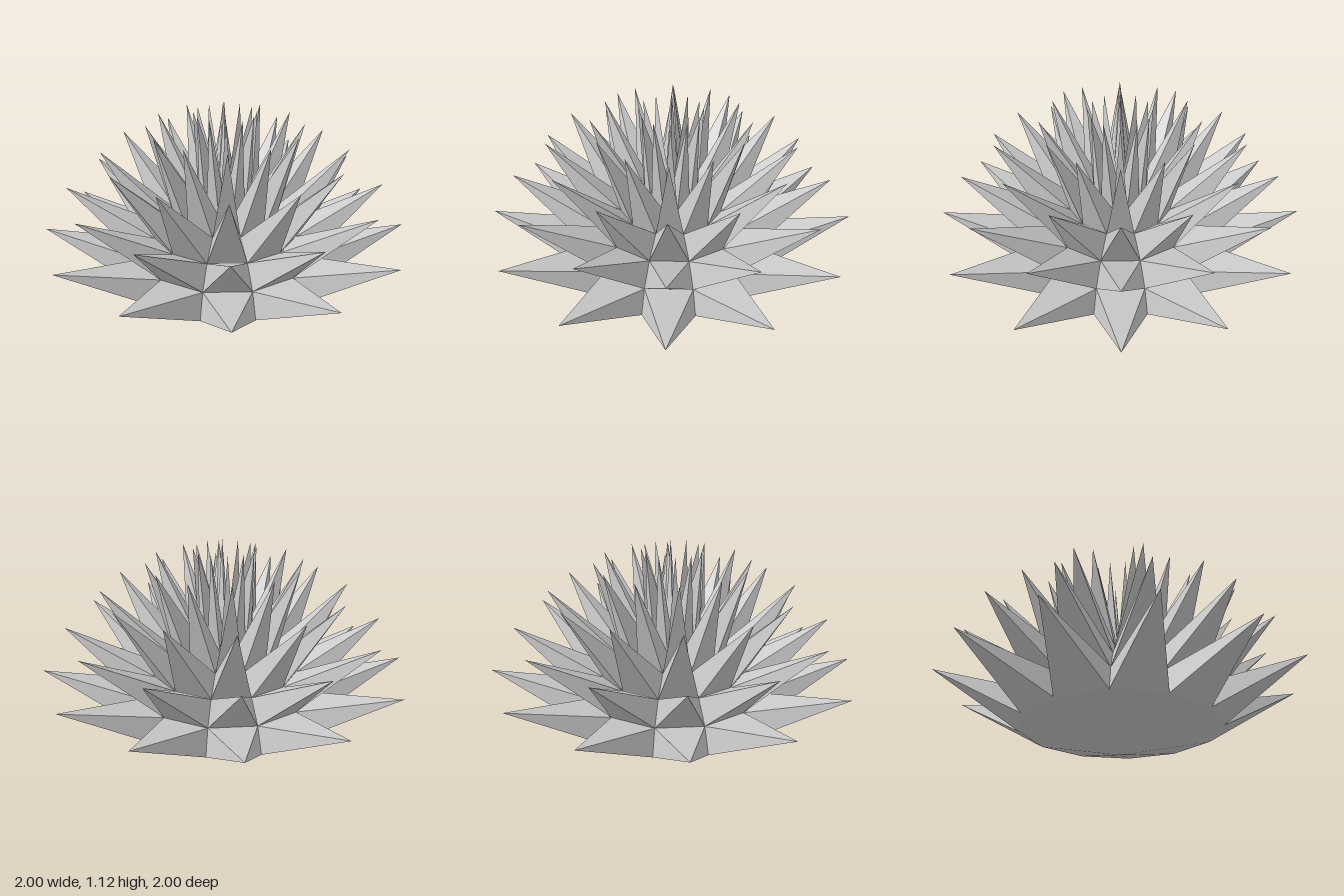
import * as THREE from 'three';

const SEGMENTS = 12;     // spikes per ring
const RINGS = 5;         // bands from 15 degrees up to the pole
const STEP = Math.PI / 12;
const CORE = 0.585;      // radius of the faceted dome
const SPIKE = 0.557;     // spike length along the facet normal

const material = new THREE.MeshStandardMaterial({ color: 0xcccccc, flatShading: true });

// Point on the dome by ring (0 = lowest) and segment
function domePoint(ring, seg) {
  const lat = (ring + 1) * STEP;
  const a = (seg / SEGMENTS) * Math.PI * 2;
  const r = CORE * Math.cos(lat);
  return new THREE.Vector3(r * Math.cos(a), CORE * Math.sin(lat), r * Math.sin(a));
}

// Fan of triangles from each edge of a facet to one apex
function fan(points, corners, apex) {
  corners.forEach((c, i) => points.push(c, corners[(i + 1) % corners.length], apex));
}

function meshFrom(points, name) {
  const geometry = new THREE.BufferGeometry().setFromPoints(points);
  geometry.computeVertexNormals();
  const mesh = new THREE.Mesh(geometry, material);
  mesh.name = name;
  return mesh;
}

export function createModel() {
  const group = new THREE.Group();
  group.name = 'spikyFlower';

  // Shallow cone closing the underside
  const base = [];
  for (let s = 0; s < SEGMENTS; s++) {
    base.push(new THREE.Vector3(), domePoint(0, s), domePoint(0, s + 1));
  }
  group.add(meshFrom(base, 'base'));

  // Rings of pyramid petals, one growing from every dome facet
  for (let ring = 0; ring < RINGS; ring++) {
    const points = [];
    for (let s = 0; s < SEGMENTS; s++) {
      const corners = [domePoint(ring, s), domePoint(ring + 1, s)];
      if (ring < RINGS - 1) corners.push(domePoint(ring + 1, s + 1));
      corners.push(domePoint(ring, s + 1));

      const centre = new THREE.Vector3();
      corners.forEach((c) => centre.addScaledVector(c, 1 / corners.length));
      const normal = corners[1].clone().sub(corners[0])
        .cross(corners[corners.length - 1].clone().sub(corners[0])).normalize();
      fan(points, corners, centre.addScaledVector(normal, SPIKE));
    }
    group.add(meshFrom(points, `petalRing${ring + 1}`));
  }
  return group;
}
